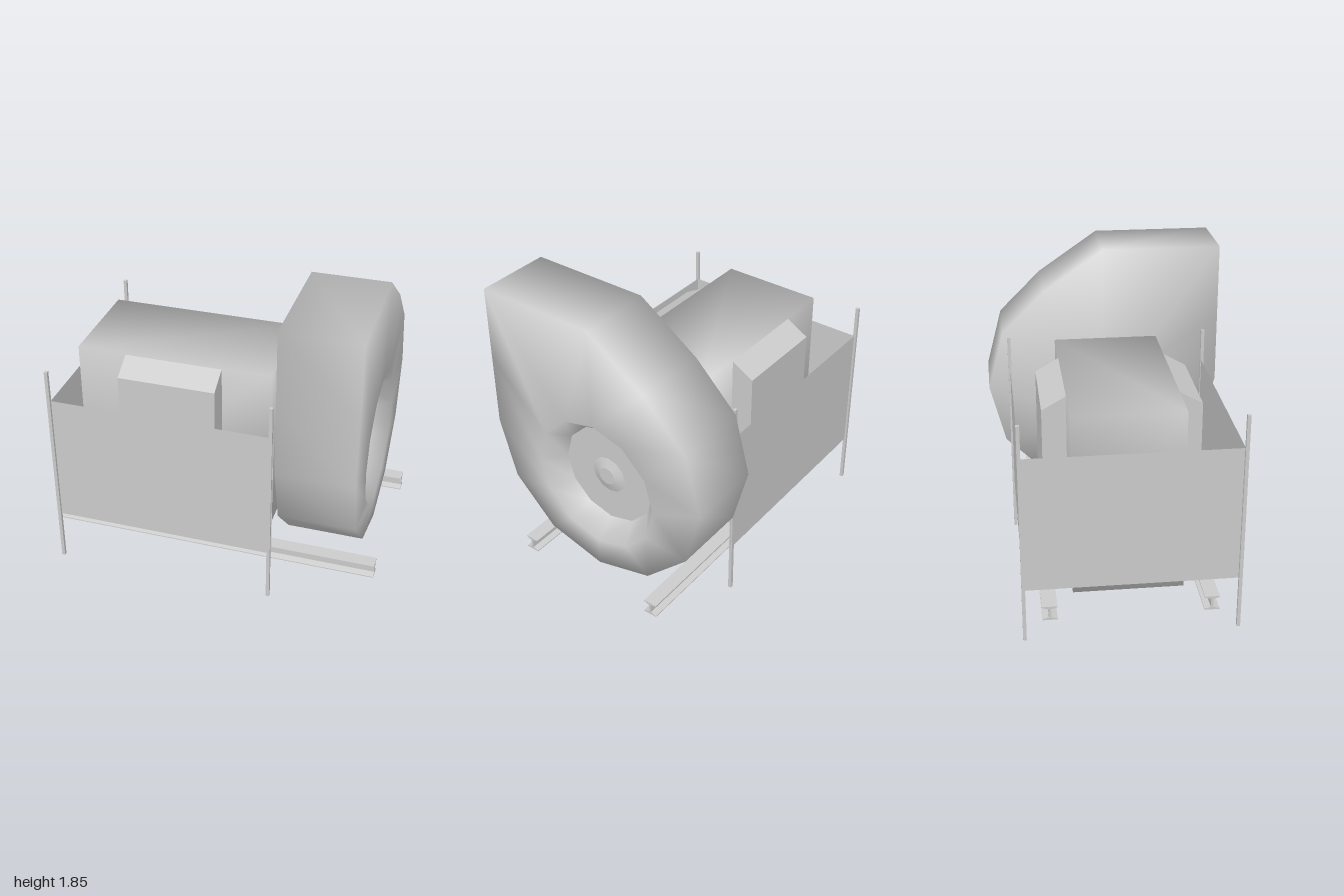
import * as THREE from 'three';
import { mergeVertices } from 'three/addons/utils/BufferGeometryUtils.js';

const grey = new THREE.MeshStandardMaterial({ color: 0xcccccc });
const greyThin = new THREE.MeshStandardMaterial({ color: 0xcccccc, side: THREE.DoubleSide });

const AXIS_Y = 0.83; // height of the fan and motor axis
const SIDES = 12;

function add(parent, name, geometry, material = grey) {
  const mesh = new THREE.Mesh(geometry, material);
  mesh.name = name;
  parent.add(mesh);
  return mesh;
}

// Box given by its two corners
function boxBetween(a, b) {
  const g = new THREE.BoxGeometry(b[0] - a[0], b[1] - a[1], b[2] - a[2]);
  return g.translate((a[0] + b[0]) / 2, (a[1] + b[1]) / 2, (a[2] + b[2]) / 2);
}

// One set of averaged normals over the whole surface
function smooth(geometry) {
  geometry.deleteAttribute('normal');
  geometry.deleteAttribute('uv');
  const g = mergeVertices(geometry);
  g.computeVertexNormals();
  return g;
}

// Extrude a [z, y] profile along x
function prismX(profile, x0, x1) {
  const shape = new THREE.Shape(profile.map(([z, y]) => new THREE.Vector2(-z, y)));
  const g = new THREE.ExtrudeGeometry(shape, { depth: x1 - x0, bevelEnabled: false });
  return g.rotateY(Math.PI / 2).translate(x0, 0, 0);
}

// Twelve-sided disc or frustum on the fan axis
function discX(r0, r1, x0, x1) {
  const g = new THREE.CylinderGeometry(r1, r0, x1 - x0, SIDES);
  return g.rotateZ(-Math.PI / 2).translate((x0 + x1) / 2, AXIS_Y, 0);
}

// Ring of [z, y] points around the fan axis, starting at the bottom
function circle(r) {
  return Array.from({ length: SIDES }, (_, i) => {
    const a = (i / SIDES) * Math.PI * 2;
    return [r * Math.sin(a), AXIS_Y - r * Math.cos(a)];
  });
}

// Skin a series of { x, ring } sections
function loft(sections) {
  const position = [], index = [];
  for (const { x, ring } of sections) for (const [z, y] of ring) position.push(x, y, z);
  for (let s = 0; s < sections.length - 1; s++) {
    for (let i = 0; i < SIDES; i++) {
      const j = (i + 1) % SIDES;
      const a = s * SIDES + i, a1 = s * SIDES + j;
      index.push(a, a + SIDES, a1, a + SIDES, a1 + SIDES, a1);
    }
  }
  const g = new THREE.BufferGeometry();
  g.setAttribute('position', new THREE.Float32BufferAttribute(position, 3));
  g.setIndex(index);
  g.computeVertexNormals();
  return g;
}

export function createModel() {
  const model = new THREE.Group();
  model.name = 'blower';

  // Scroll housing with a dished inlet on its outer face
  const fan = new THREE.Group();
  fan.name = 'fan';
  model.add(fan);
  const scroll = [
    [0, 0.245], [0.36, 0.34], [0.625, 0.605], [0.725, 0.97], [0.725, 1.4], [0.725, 1.845],
    [0, 1.845], [-0.37, 1.59], [-0.63, 1.33], [-0.725, 0.97], [-0.63, 0.605], [-0.36, 0.34],
  ];
  add(fan, 'scrollHousing', loft([
    { x: 0.45, ring: circle(0.1) },
    { x: 0.45, ring: scroll },
    { x: 0.9, ring: scroll },
    { x: 0.9, ring: circle(0.41) },
    { x: 0.78, ring: circle(0.31) },
  ]));
  add(fan, 'inletPlate', discX(0.31, 0.31, 0.76, 0.78));
  add(fan, 'hub', discX(0.115, 0.055, 0.78, 0.8));
  add(fan, 'rearBearing', discX(0.14, 0.14, 0.43, 0.46));

  // Motor block with side boxes and a coupling disc
  const motor = new THREE.Group();
  motor.name = 'motor';
  model.add(motor);
  add(motor, 'motorBody', smooth(boxBetween([-0.855, 0.25, -0.313], [0.315, 1.325, 0.313])));
  add(motor, 'sideBoxes', prismX([
    [-0.45, 0.255], [0.45, 0.255], [0.45, 1.24], [0.31, 1.32], [-0.31, 1.32], [-0.45, 1.24],
  ], -0.56, 0.022));
  add(motor, 'couplingDisc', discX(0.14, 0.14, 0.3, 0.326));

  // Two I-beams under the machine
  const half = [[0.042, 0.175], [0.042, 0.181], [0.007, 0.192], [0.007, 0.243], [0.042, 0.254], [0.042, 0.26]];
  const section = [...half, ...half.map(([z, y]) => [-z, y]).reverse()];
  for (const side of [1, -1]) {
    add(model, side > 0 ? 'frontBeam' : 'rearBeam', prismX(section, -1, 1)).position.z = side * 0.452;
  }

  // Guard of thin sheets, open towards the fan
  const guard = new THREE.Group();
  guard.name = 'guard';
  model.add(guard);
  const [y0, y1] = [0.315, 1.122];
  for (const [name, z] of [['frontPanel', 0.62], ['rearPanel', -0.59]]) {
    const sheet = new THREE.PlaneGeometry(1.325, y1 - y0);
    add(guard, name, sheet, greyThin).position.set(-0.248, (y0 + y1) / 2, z);
  }
  const end = new THREE.PlaneGeometry(1.21, y1 - y0).rotateY(-Math.PI / 2);
  add(guard, 'endPanel', end, greyThin).position.set(-0.91, (y0 + y1) / 2, 0.015);

  // Corner posts
  for (const x of [-0.918, 0.4]) {
    for (const z of [-0.592, 0.626]) {
      add(guard, 'post', new THREE.BoxGeometry(0.02, 1.32, 0.02)).position.set(x, 0.66, z);
    }
  }
  return model;
}
